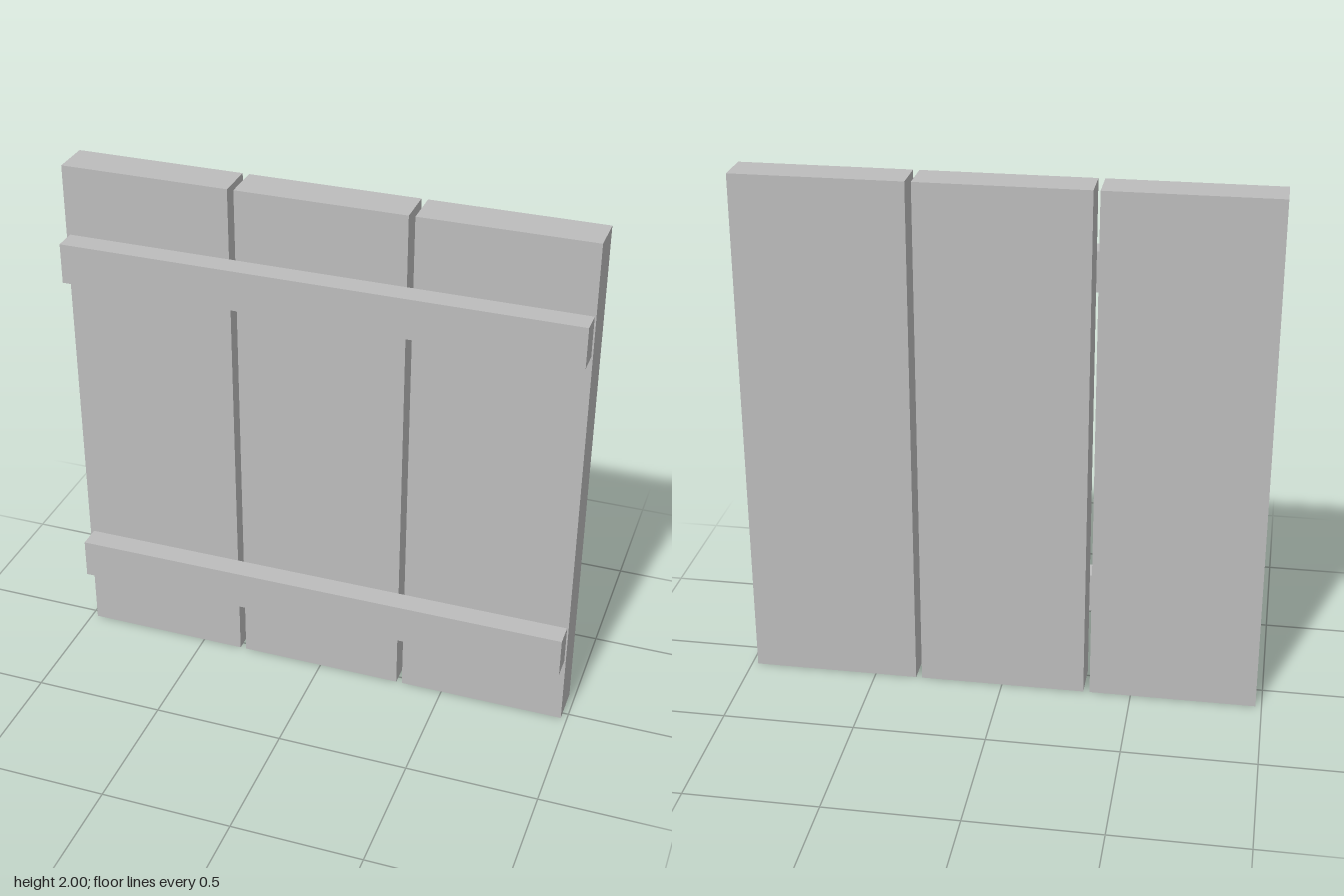
import * as THREE from 'three';

export function createModel() {
  const model = new THREE.Group();
  const grey = new THREE.MeshStandardMaterial({ color: 0xbcbcbc });
  grey.name = 'plain grey';

  // Box given by its extents along each axis
  const board = (name, [x0, x1], [y0, y1], [z0, z1]) => {
    const mesh = new THREE.Mesh(new THREE.BoxGeometry(x1 - x0, y1 - y0, z1 - z0), grey);
    mesh.position.set((x0 + x1) / 2, (y0 + y1) / 2, (z0 + z1) / 2);
    mesh.name = name;
    model.add(mesh);
  };

  // Three upright planks with narrow gaps between them
  const planks = { rightPlank: [-0.977, -0.342], middlePlank: [-0.318, 0.316], leftPlank: [0.339, 0.977] };
  for (const [name, x] of Object.entries(planks)) board(name, x, [0, 2], [-0.118, 0.031]);

  // Two cross battens on the front
  const battens = { lowerBatten: [0.275, 0.429], upperBatten: [1.578, 1.732] };
  for (const [name, y] of Object.entries(battens)) board(name, [-0.963, 0.971], y, [0.031, 0.118]);

  return model;
}
